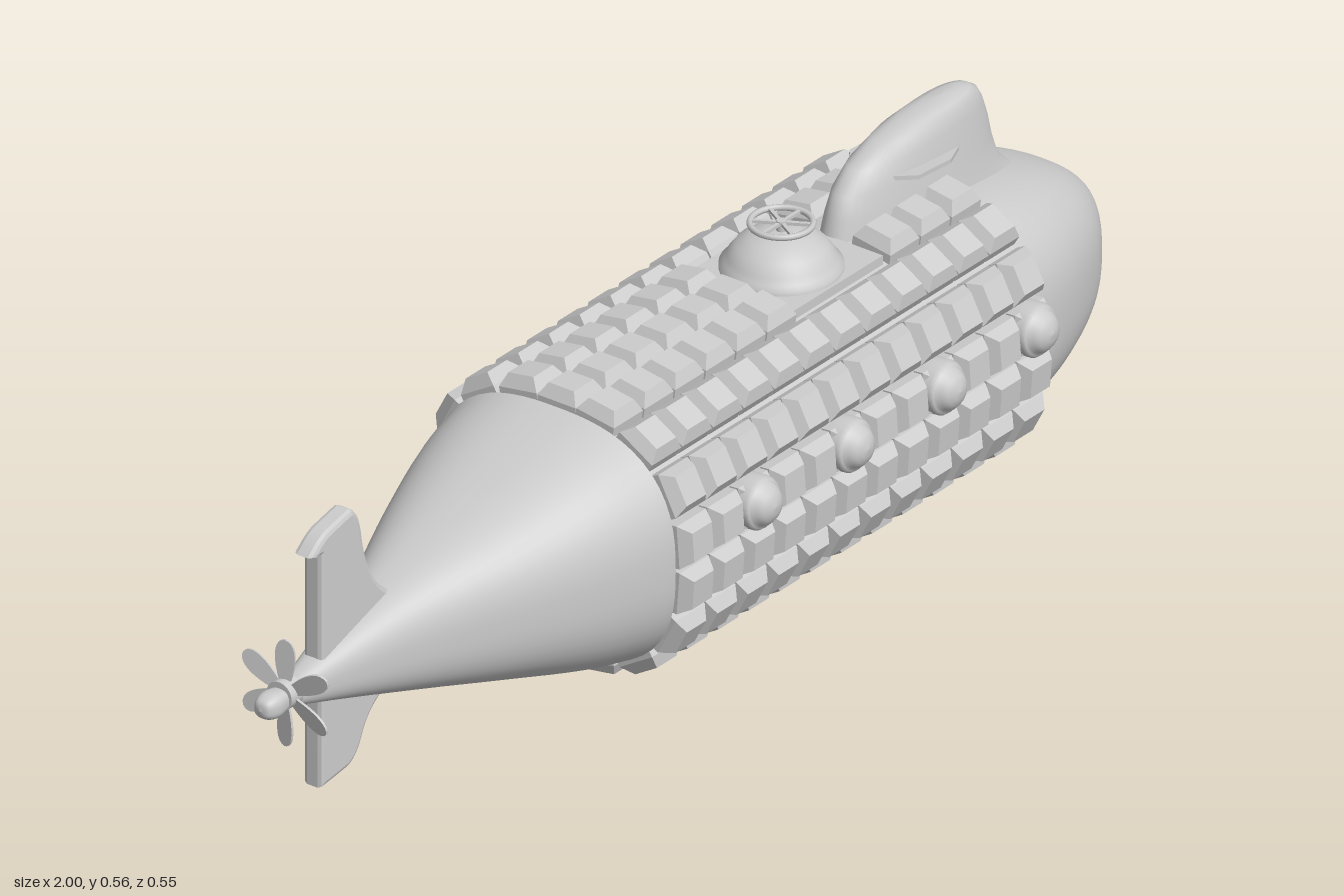
import * as THREE from 'three';
import { mergeGeometries } from 'three/addons/utils/BufferGeometryUtils.js';

const CY = 0.24, N = 2.6, RY = 0.2, RZ = 0.218;
const X0 = -0.27, X1 = 0.64, COLS = 12, ROWS = 18;
const smooth = new THREE.MeshStandardMaterial({ color: 0xcccccc, side: THREE.DoubleSide });
const flat = new THREE.MeshStandardMaterial({ color: 0xcccccc, flatShading: true, side: THREE.DoubleSide });

function add(parent, name, geometry, material = smooth) {
  const mesh = new THREE.Mesh(geometry, material);
  mesh.name = name;
  parent.add(mesh);
  return mesh;
}

// Squared-off ellipse at polar angle a
function superellipse(a, ru, rv, n = N) {
  const r = (Math.abs(Math.cos(a) / ru) ** n + Math.abs(Math.sin(a) / rv) ** n) ** (-1 / n);
  return [r * Math.cos(a), r * Math.sin(a)];
}

// Skin over a list of closed rings
function loft(rings) {
  const m = rings[0].length, index = [];
  for (let i = 0; i < rings.length - 1; i++) {
    for (let j = 0; j < m; j++) {
      const a = i * m + j, b = i * m + (j + 1) % m;
      index.push(a, b, a + m, b, b + m, a + m);
    }
  }
  const g = new THREE.BufferGeometry().setFromPoints(rings.flat());
  g.setIndex(index);
  g.computeVertexNormals();
  return g;
}

// Hull section from stations [x, half height, half width]
function hull(stations, steps) {
  const pts = stations.map(s => new THREE.Vector3(...s));
  const path = new THREE.CatmullRomCurve3(pts, false, 'centripetal');
  return loft(path.getPoints(steps).map(p => Array.from({ length: 64 }, (_, j) => {
    const [y, z] = superellipse(j / 64 * Math.PI * 2, Math.max(p.y, 0.0005), Math.max(p.z, 0.0005));
    return new THREE.Vector3(p.x, CY + y, z);
  })));
}

// Placement on the middle hull, local y pointing outward
function onHull(x, a) {
  const [y, z] = superellipse(a, RY, RZ);
  const grad = (v, r) => Math.sign(v) * Math.abs(v / r) ** (N - 1) / r;
  const n = new THREE.Vector3(0, grad(y, RY), grad(z, RZ)).normalize();
  const ax = new THREE.Vector3(1, 0, 0);
  return new THREE.Matrix4().makeBasis(ax, n, ax.clone().cross(n)).setPosition(x, CY + y, z);
}

const lathe = (pts, seg, start = 0) =>
  new THREE.LatheGeometry(pts.map(p => new THREE.Vector2(...p)), seg, start);

// Closed outline extruded symmetrically about z = 0
function plate(shape, depth, bevel = 0) {
  const g = new THREE.ExtrudeGeometry(shape, {
    depth, curveSegments: 10, bevelEnabled: bevel > 0,
    bevelSize: bevel, bevelThickness: bevel, bevelSegments: 2, bevelOffset: -bevel,
  });
  return g.translate(0, 0, -depth / 2);
}

export function createModel() {
  const model = new THREE.Group();
  model.name = 'submarine';

  // Hull in three sections
  add(model, 'sternHull', hull([[-1, 0, 0], [-0.995, 0.014, 0.014], [-0.975, 0.021, 0.021], [-0.94, 0.018, 0.018],
    [-0.88, 0.034, 0.03], [-0.7, 0.088, 0.08], [-0.5, 0.145, 0.16], [-0.36, 0.186, 0.208], [X0, 0.206, 0.228]], 40));
  add(model, 'middleHull', hull([[X0, RY, RZ], [X1, RY, RZ]], 2));
  add(model, 'bowHull', hull([[X1, 0.2, 0.216], [0.72, 0.187, 0.204], [0.8, 0.168, 0.182], [0.88, 0.139, 0.148],
    [0.94, 0.105, 0.105], [0.98, 0.066, 0.06], [0.995, 0.034, 0.028], [1, 0, 0]], 40));

  // Tiles and portholes over the middle hull
  const h = 0.036 * Math.SQRT2, t = 0.024 * Math.SQRT2;
  const tile = lathe([[h, -0.012], [h, 0.014], [t, 0.034], [0, 0.034]], 4, Math.PI / 4).toNonIndexed();
  tile.computeVertexNormals();
  const port = lathe([[0.043, 0], [0.043, 0.028], [0.039, 0.034], [0.034, 0.034], [0.032, 0.042],
    [0.024, 0.05], [0.013, 0.055], [0, 0.057]], 24);
  const pitch = (X1 - X0) / COLS, tiles = [], ports = [];
  for (let r = 0; r < ROWS; r++) {
    const a = r / ROWS * Math.PI * 2;
    const fromTop = Math.min(r, ROWS - r);
    for (let c = 0; c < COLS; c++) {
      if (fromTop <= 1 && c >= 6 && c <= 8) continue; // hatch deck
      if (fromTop === 0 && c > 8) continue; // under the sail
      const place = onHull(X0 + (c + 0.5) * pitch, a);
      tiles.push(tile.clone().applyMatrix4(place));
      if (fromTop === 4 && c % 3 === 2) ports.push(port.clone().applyMatrix4(place));
    }
  }
  add(model, 'hullTiles', mergeGeometries(tiles), flat);
  add(model, 'portholes', mergeGeometries(ports));

  // Hatch with hand wheel
  const hatch = new THREE.Group();
  hatch.name = 'hatch';
  hatch.position.set(0.287, 0, 0);
  model.add(hatch);
  add(hatch, 'hatchDeck', new THREE.BoxGeometry(0.22, 0.03, 0.2).translate(0.01, 0.43, 0));
  add(hatch, 'hatchDome', lathe([[0.095, 0.44], [0.095, 0.452], [0.087, 0.457], [0.083, 0.468], [0.07, 0.485],
    [0.05, 0.498], [0.026, 0.506], [0, 0.508]], 40));
  add(hatch, 'wheelStem', new THREE.CylinderGeometry(0.008, 0.008, 0.025, 12).translate(0, 0.512, 0));
  add(hatch, 'wheelRim', new THREE.TorusGeometry(0.048, 0.005, 8, 32).rotateX(Math.PI / 2).translate(0, 0.52, 0));
  for (let i = 0; i < 3; i++) {
    add(hatch, 'wheelSpoke', new THREE.BoxGeometry(0.094, 0.005, 0.006)
      .rotateY(i * Math.PI / 3).translate(0, 0.52, 0));
  }

  // Sail: levels of [y, rear x, front x, half width]
  const levels = [[0.4, 0.39, 0.83, 0.066], [0.43, 0.4, 0.8, 0.061], [0.47, 0.41, 0.787, 0.054],
    [0.505, 0.425, 0.78, 0.048], [0.535, 0.46, 0.77, 0.042], [0.555, 0.52, 0.758, 0.036],
    [0.565, 0.58, 0.742, 0.027], [0.569, 0.63, 0.725, 0.015], [0.57, 0.68, 0.681, 0.0005]];
  add(model, 'sail', loft(levels.map(([y, xr, xf, w]) => Array.from({ length: 48 }, (_, j) => {
    const a = -j / 48 * Math.PI * 2, c = Math.cos(a), s = Math.sin(a);
    const k = (Math.abs(c) ** 2.3 + Math.abs(s) ** 2.3) ** (-1 / 2.3);
    return new THREE.Vector3((xr + xf) / 2 + (xf - xr) / 2 * k * c, y, w * k * s);
  }))));
  for (const side of [-1, 1]) {
    const plane = new THREE.Shape([[0.51, 0.04], [0.54, 0.066], [0.62, 0.066], [0.68, 0.04]]
      .map(p => new THREE.Vector2(p[0] - 0.6, p[1] * side)));
    const mesh = add(model, side > 0 ? 'leftSailPlane' : 'rightSailPlane', plate(plane, 0.007).rotateX(Math.PI / 2));
    mesh.position.set(0.6, 0.505, 0);
    mesh.rotation.z = -0.08;
  }

  // Upper and lower tail fins
  const upper = new THREE.Shape();
  upper.moveTo(-0.87, 0.25);
  upper.lineTo(-0.87, 0.455);
  upper.lineTo(-0.895, 0.46);
  upper.quadraticCurveTo(-0.87, 0.485, -0.85, 0.49);
  upper.lineTo(-0.795, 0.502);
  upper.quadraticCurveTo(-0.775, 0.495, -0.768, 0.45);
  upper.quadraticCurveTo(-0.755, 0.36, -0.7, 0.325);
  upper.lineTo(-0.7, 0.25);
  add(model, 'upperFin', plate(upper, 0.02, 0.008));
  const lower = new THREE.Shape();
  lower.moveTo(-0.87, 0.23);
  lower.lineTo(-0.7, 0.23);
  lower.lineTo(-0.7, 0.165);
  lower.quadraticCurveTo(-0.75, 0.145, -0.766, 0.105);
  lower.quadraticCurveTo(-0.78, 0.07, -0.805, 0.064);
  lower.lineTo(-0.87, 0.056);
  add(model, 'lowerFin', plate(lower, 0.02, 0.008));

  // Propeller
  const propeller = new THREE.Group();
  propeller.name = 'propeller';
  propeller.position.set(-0.937, 0.245, 0);
  model.add(propeller);
  add(propeller, 'hub', new THREE.CylinderGeometry(0.024, 0.024, 0.03, 24).rotateZ(Math.PI / 2));
  const outline = new THREE.Shape();
  outline.moveTo(-0.006, 0.01);
  outline.bezierCurveTo(-0.02, 0.05, -0.022, 0.088, 0, 0.091);
  outline.bezierCurveTo(0.022, 0.088, 0.02, 0.05, 0.006, 0.01);
  for (let i = 0; i < 6; i++) {
    add(propeller, 'blade', plate(outline, 0.004).rotateY(Math.PI / 2 + 0.2).rotateX(i * Math.PI / 3));
  }

  // Small nozzle on the bow
  add(model, 'bowNozzle', new THREE.SphereGeometry(0.006, 12, 8).translate(0.952, 0.145, 0.015));
  return model;
}
